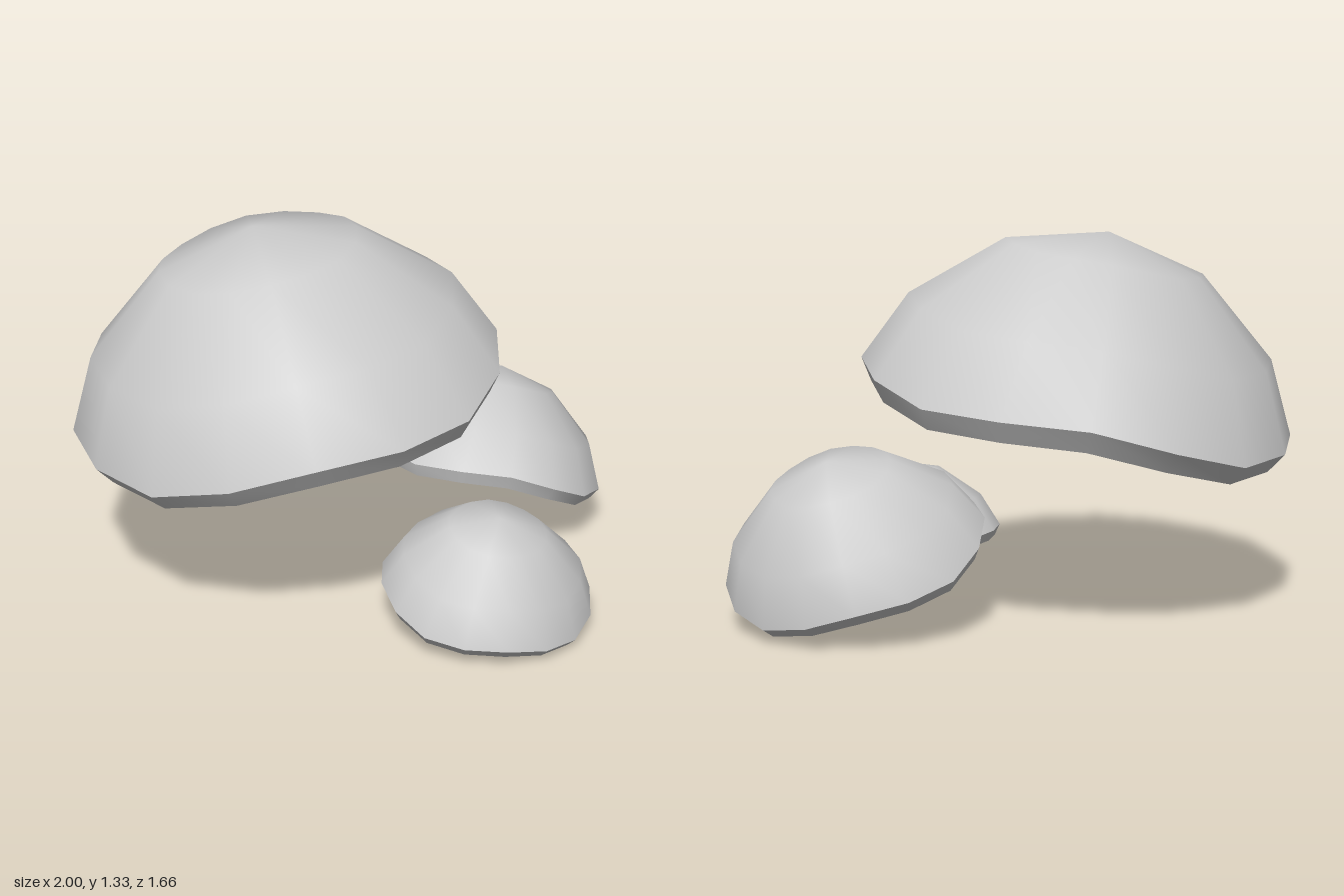
import * as THREE from 'three';
import { mergeVertices } from 'three/addons/utils/BufferGeometryUtils.js';

const SIDES = 16;
const material = new THREE.MeshStandardMaterial({ color: 0xcccccc, side: THREE.DoubleSide });

// Profiles for a cap of rim radius 1, as [radius, height], listed so faces point outward
const PROFILES = {
  dome: [[1, 0], [0.842, 0.328], [0.456, 0.654], [0, 0.764]],
  rim: [[0.938, -0.098], [1, 0]],
  underside: [[0.295, 0.037], [0.938, -0.098]],
};

// Revolve a profile, then dip it in four places around the edge
function wavyLathe(profile) {
  const lathe = new THREE.LatheGeometry(profile.map(([r, y]) => new THREE.Vector2(r, y)), SIDES);
  lathe.deleteAttribute('uv');
  lathe.deleteAttribute('normal');
  const geometry = mergeVertices(lathe, 1e-4);
  const p = geometry.attributes.position;
  for (let i = 0; i < p.count; i++) {
    const x = p.getX(i), z = p.getZ(i);
    const wave = 1 - Math.cos(4 * Math.atan2(z, x));
    p.setY(i, p.getY(i) - 0.039 * wave * (x * x + z * z));
  }
  geometry.computeVertexNormals();
  return geometry;
}

// A cap with its rim centre at position, tilted so its axis follows the given direction
function makeCap(name, radius, position, axis) {
  const cap = new THREE.Group();
  cap.name = name;
  for (const [part, profile] of Object.entries(PROFILES)) {
    const mesh = new THREE.Mesh(wavyLathe(profile), material);
    mesh.name = part;
    cap.add(mesh);
  }
  cap.scale.setScalar(radius);
  cap.position.set(...position);
  cap.quaternion.setFromUnitVectors(new THREE.Vector3(0, 1, 0), new THREE.Vector3(...axis).normalize());
  return cap;
}

export function createModel() {
  const group = new THREE.Group();
  group.name = 'mushroomCaps';
  group.add(
    makeCap('largeCap', 0.779, [-0.235, 0.745, -0.05], [-0.189, 1, 0]),
    makeCap('mediumCap', 0.465, [0.55, 0.25, -0.338], [0.275, 1, -0.275]),
    makeCap('smallCap', 0.378, [0.402, 0.13, 0.462], [0.11, 1, 0.16]),
  );
  return group;
}
